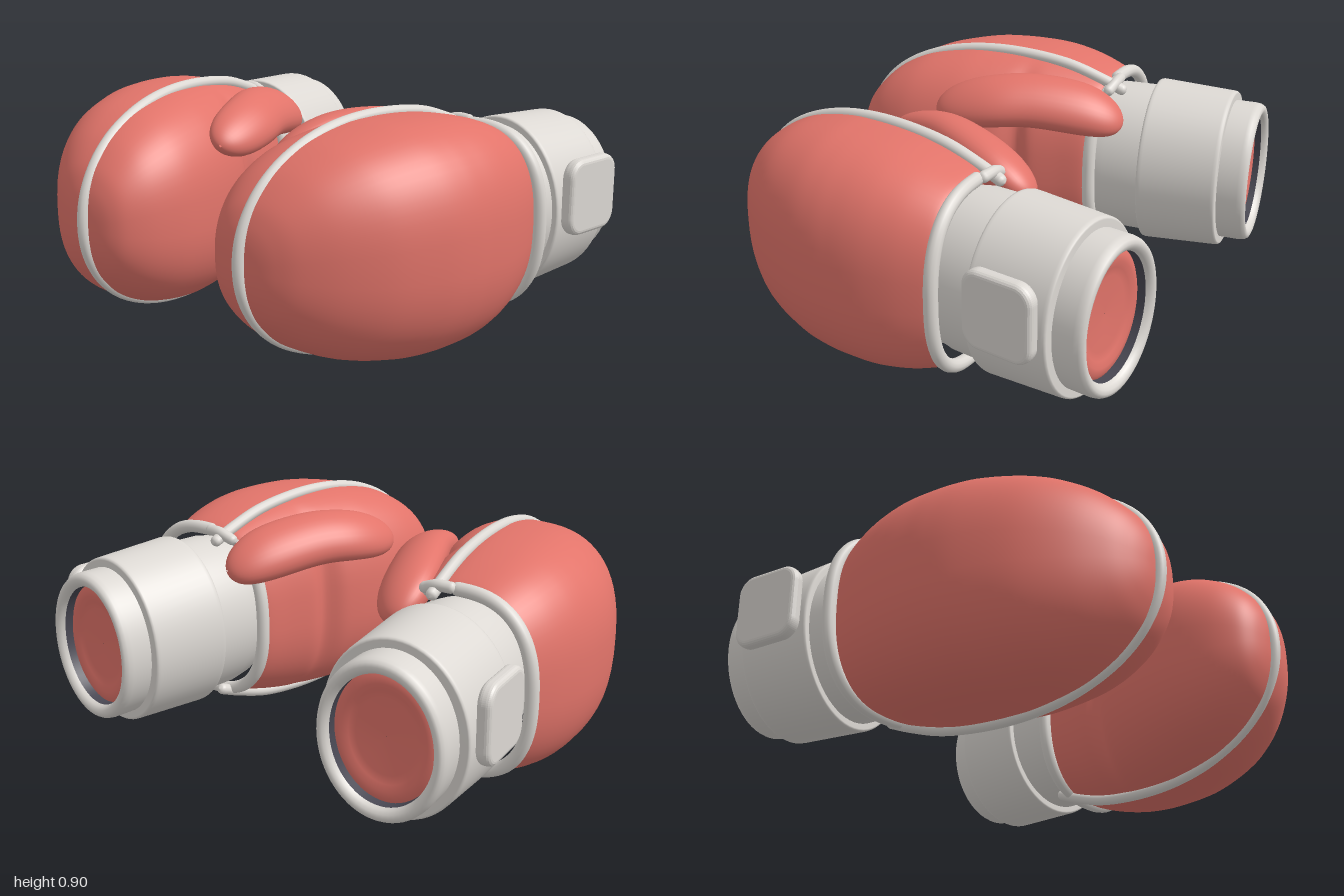
import * as THREE from 'three';
import { mergeVertices } from 'three/addons/utils/BufferGeometryUtils.js';

const paint = (name, color) => Object.assign(new THREE.MeshStandardMaterial({ color }), { name });
const vec = (p) => new THREE.Vector3(...p);
const CY = 0.457; // height of the glove's centre line

// Smooth skin: f(u, v) gives a point, u runs along, v runs around
function loft(nu, nv, f) {
  const pos = [], idx = [];
  for (let i = 0; i <= nu; i++) for (let j = 0; j < nv; j++) pos.push(...f(i / nu, j / nv));
  for (let i = 0; i < nu; i++) for (let j = 0; j < nv; j++) {
    const a = i * nv + j, b = i * nv + (j + 1) % nv;
    idx.push(a, b, a + nv, b, b + nv, a + nv);
  }
  const g = new THREE.BufferGeometry();
  g.setAttribute('position', new THREE.Float32BufferAttribute(pos, 3));
  g.setIndex(idx);
  g.computeVertexNormals();
  return g;
}

// Body sections: z, inner x, outer x, half height
const SECTIONS = [
  [-0.235, 0.36, 0.885, 0.335], [-0.2, 0.328, 0.905, 0.362], [-0.1, 0.295, 0.935, 0.396],
  [0, 0.26, 0.952, 0.418], [0.08, 0.232, 0.957, 0.428], [0.16, 0.203, 0.954, 0.432],
  [0.25, 0.172, 0.945, 0.432], [0.36, 0.146, 0.918, 0.425], [0.5, 0.133, 0.858, 0.397],
  [0.6, 0.141, 0.795, 0.361], [0.7, 0.17, 0.706, 0.301], [0.78, 0.217, 0.607, 0.22],
  [0.82, 0.267, 0.53, 0.149], [0.84, 0.33, 0.462, 0.079], [0.846, 0.393, 0.397, 0.003],
];
const LAST = SECTIONS.length - 1;
const spline = new THREE.CubicInterpolant(SECTIONS.map((_, i) => i), SECTIONS.flat(), 4);
const bulge = (c) => Math.sign(c) * Math.abs(c) ** 0.8;

function bodyPoint(u, v) {
  const [z, x0, x1, h] = spline.evaluate(u * LAST);
  const a = v * Math.PI * 2, c = Math.cos(a);
  // Upright palm crease on the inner side
  const crease = 0.04 * Math.max(0, -c) ** 2 * Math.exp(-(((z - 0.08) / 0.045) ** 2));
  return [(x0 + x1) / 2 + (x1 - x0) / 2 * bulge(c) + crease, CY + h * bulge(Math.sin(a)), z];
}

// Piping path: over the top, round the tip and back underneath, as z and height
const ARC = [[-0.29, 0.322], [-0.2, 0.358], [-0.05, 0.404], [0.2, 0.428], [0.4, 0.412],
  [0.55, 0.37], [0.68, 0.302], [0.77, 0.218], [0.83, 0.11]];
const seamPoints = [...ARC, [0.848, 0], ...ARC.map(([z, h]) => [z, -h]).reverse()]
  .map(([z, h]) => vec([0.485 - 0.115 * z, CY + h, z]));

// Thumb: flattened capsule along a bent path
const thumbPath = new THREE.CatmullRomCurve3([
  [0.41, 0.69, -0.35], [0.345, 0.735, -0.2], [0.258, 0.765, 0], [0.195, 0.757, 0.14], [0.135, 0.71, 0.37],
].map(vec));

function thumbPoint(t, v) {
  const u = (1 - Math.cos(Math.PI * (0.01 + 0.98 * t))) / 2;
  const p = thumbPath.getPointAt(u), a = v * Math.PI * 2;
  const r = (0.122 - 0.012 * u) * Math.sqrt(1 - Math.abs(2 * u - 1) ** 4);
  const side = r * Math.cos(a);
  return [p.x + side * 0.86, p.y + side * 0.3 + r * 0.78 * Math.sin(a), p.z + side * 0.4];
}

function roundedPlate(w, h, r, depth, bevel) {
  const s = new THREE.Shape(), x = w / 2 - bevel - r, y = h / 2 - bevel - r;
  [[x, y], [-x, y], [-x, -y], [x, -y]].forEach(([cx, cy], i) =>
    s.absarc(cx, cy, r, i * Math.PI / 2, (i + 1) * Math.PI / 2));
  const g = new THREE.ExtrudeGeometry(s, {
    depth: depth - 2 * bevel, bevelSize: bevel, bevelThickness: bevel, bevelSegments: 4, curveSegments: 8,
  });
  return g.center().rotateY(Math.PI / 2);
}

// Oval lathe along the slanted wrist axis; profile is [radius, distance back]
function wrist(profile, aspect) {
  const g = new THREE.LatheGeometry(profile.map((p) => new THREE.Vector2(...p)), 64);
  return g.scale(aspect, 1, 1).rotateX(-Math.PI / 2).rotateY(-0.135).translate(0.626, CY, -0.405);
}

// Cord with rounded ends; axis is a direction the path never follows
function cord(points, r, segments, axis) {
  const curve = new THREE.CatmullRomCurve3(points);
  return loft(segments + 8, 12, (t, v) => {
    const k = Math.round(t * (segments + 8)) - 4;
    const u = THREE.MathUtils.clamp(k / segments, 0, 1);
    const over = (k - u * segments) / 4;
    const d = curve.getTangentAt(u), a = v * Math.PI * 2;
    const b = vec(axis).cross(d).normalize(), n = d.clone().cross(b);
    const rr = r * Math.max(0.02, Math.sqrt(1 - over * over));
    return curve.getPointAt(u).addScaledVector(d, over * r).addScaledVector(b, rr * Math.cos(a))
      .addScaledVector(n, rr * Math.sin(a)).toArray();
  });
}

const hemPoint = (a) => vec([0.62 + 0.29 * bulge(Math.cos(a)), CY + 0.343 * bulge(Math.sin(a)), -0.238]);

export function createModel() {
  const red = paint('red leather', 0xe2746a);
  const grey = paint('pale grey trim', 0xdcd8d3);
  const dark = paint('dark lining', 0x484752);

  // Hem runs round the wrist and leaves a gap at the top for the lace
  const hem = [];
  for (let i = 0; i <= 48; i++) hem.push(hemPoint(1.62 - (i / 48) * 5.45));

  const parts = [
    ['body', loft(84, 64, bodyPoint), red],
    ['thumb', loft(40, 32, thumbPoint), red],
    ['piping', cord(seamPoints, 0.023, 130, [1, 0, 0]), grey],
    ['hem', cord(hem, 0.026, 120, [0, 0, 1]), grey],
    ['laceBridge', cord([2.45, 2.2, 1.9, 1.62].map(hemPoint), 0.016, 16, [0, 0, 1]), grey],
    ['laceKnot', cord([[0.465, 0.785, -0.257], [0.52, 0.806, -0.264], [0.575, 0.806, -0.257]].map(vec),
      0.022, 12, [0, 0, 1]), grey],
    ['sleeve', wrist([[0.3, -0.22], [0.314, -0.15], [0.316, 0.02]], 0.845), grey],
    ['wristBand', wrist([[0.3, 0.001], [0.337, 0], [0.343, 0.003], [0.345, 0.01], [0.345, 0.02], [0.331, 0.306],
      [0.33, 0.316], [0.326, 0.322], [0.32, 0.324], [0.27, 0.324]], 0.845), grey],
    ['cuffRim', wrist([[0.294, 0.31], [0.294, 0.405], [0.291, 0.423], [0.283, 0.436], [0.27, 0.441],
      [0.256, 0.438], [0.244, 0.428], [0.238, 0.415]], 0.82), grey],
    ['cuffLining', wrist([[0.238, 0.415], [0.238, 0.375]], 0.82), dark],
    ['cuffPadding', wrist([[0.238, 0.38], [0.22, 0.391], [0.195, 0.393], [0.17, 0.385], [0.14, 0.378],
      [0.001, 0.374]], 0.82), red],
    ['strapPad', roundedPlate(0.285, 0.297, 0.05, 0.055, 0.02).rotateY(-0.135).translate(0.956, 0.522, -0.527), grey],
  ];

  const model = new THREE.Group();
  model.name = 'glovePair';
  for (const side of [1, -1]) {
    const glove = new THREE.Group();
    glove.name = side > 0 ? 'leftGlove' : 'rightGlove';
    for (const [name, source, material] of parts) {
      const g = source.index ? source.clone() : mergeVertices(source);
      if (side < 0) {
        g.scale(-1, 1, 1);
        g.index.array.reverse(); // keep faces outward after mirroring
      }
      const mesh = new THREE.Mesh(g, material);
      mesh.name = name;
      glove.add(mesh);
    }
    model.add(glove);
  }
  return model;
}
